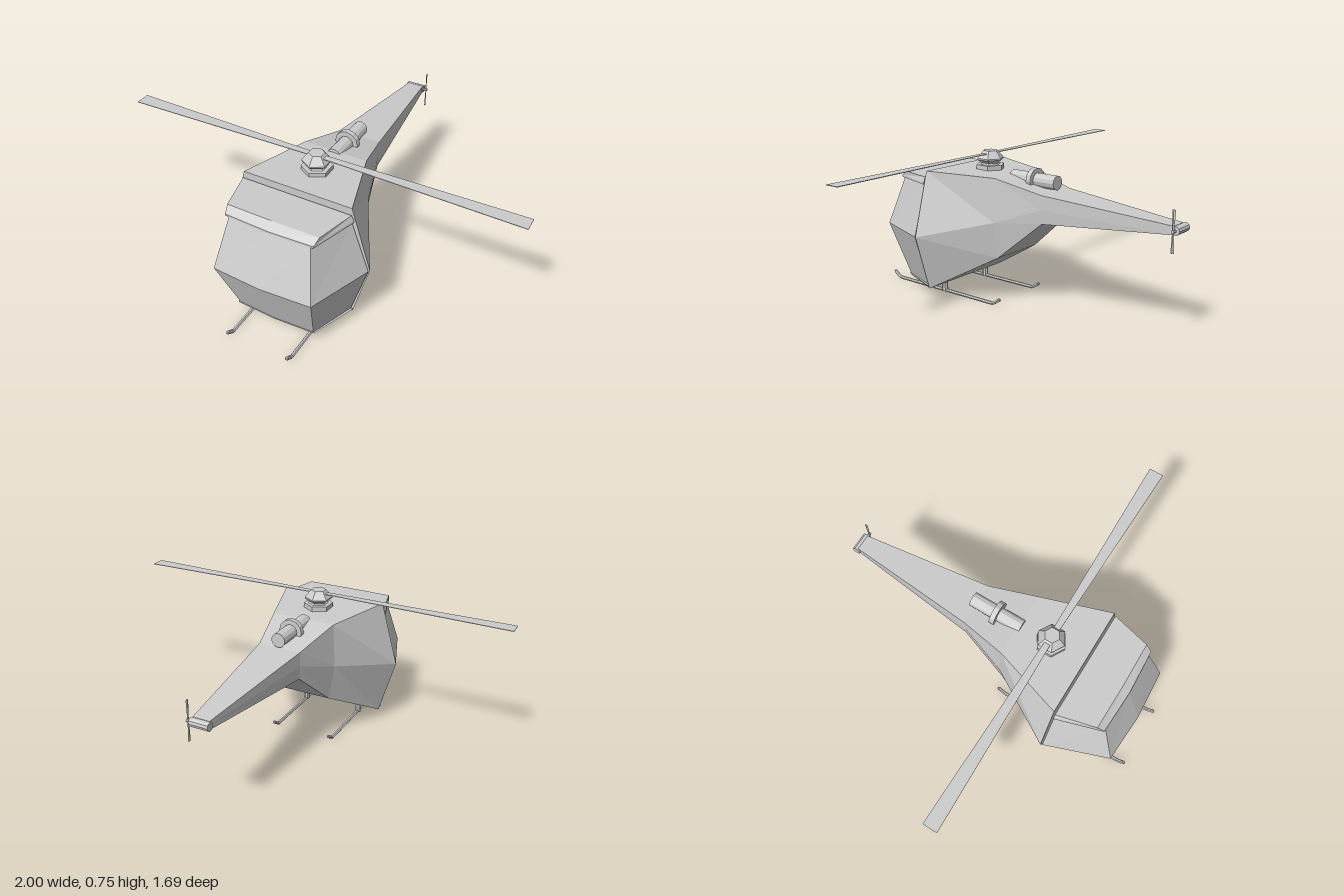
import * as THREE from 'three';

const grey = new THREE.MeshStandardMaterial({ color: 0xcccccc, flatShading: true, side: THREE.DoubleSide });

function add(parent, name, geometry, x = 0, y = 0, z = 0) {
  const mesh = new THREE.Mesh(geometry, grey);
  mesh.name = name;
  mesh.position.set(x, y, z);
  parent.add(mesh);
  return mesh;
}

// Skin between rings of equal point count, closed at both ends
function loft(rings) {
  const n = rings[0].length, index = [], last = (rings.length - 1) * n;
  for (let r = 0; r < rings.length - 1; r++) {
    for (let i = 0; i < n; i++) {
      const a = r * n + i, b = r * n + (i + 1) % n;
      index.push(a, b, b + n, a, b + n, a + n);
    }
  }
  for (let i = 1; i < n - 1; i++) {
    index.push(0, i + 1, i, last, last + i, last + i + 1);
  }
  const geometry = new THREE.BufferGeometry();
  geometry.setAttribute('position', new THREE.Float32BufferAttribute(rings.flat(2), 3));
  geometry.setIndex(index);
  const flat = geometry.toNonIndexed();
  flat.computeVertexNormals();
  return flat;
}

// Upright hexagonal fuselage section
const section = (z, tx, ty, mx, my, bx, by) => [
  [tx, ty, z], [-tx, ty, z], [-mx, my, z], [-bx, by, z], [bx, by, z], [mx, my, z]];

// Horizontal cabin section: rear corners, front corners, slightly bowed nose
const slice = (y, rear, corner, zCorner, zNose) => [
  [0, y, zNose], [corner, y, zCorner], [rear, y, 0.458], [-rear, y, 0.458], [-corner, y, zCorner]];

export function createModel() {
  const model = new THREE.Group();
  model.name = 'helicopter';

  // Fuselage tapering into the tail boom
  add(model, 'fuselage', loft([
    section(-0.81, 0.042, 0.545, 0.042, 0.525, 0.042, 0.505),
    section(-0.14, 0.11, 0.597, 0.11, 0.525, 0.105, 0.455),
    section(0.10, 0.165, 0.657, 0.178, 0.437, 0.15, 0.25),
    section(0.45, 0.278, 0.668, 0.37, 0.345, 0.285, 0.052),
  ]));

  // Faceted cabin with a roof rim and a sill
  add(model, 'cabin', loft([
    slice(0.068, 0.278, 0.2, 0.672, 0.682),
    slice(0.345, 0.366, 0.252, 0.77, 0.785),
    slice(0.603, 0.28, 0.205, 0.68, 0.69),
  ]));
  add(model, 'cabinRoof', loft([
    slice(0.6, 0.292, 0.222, 0.684, 0.694),
    slice(0.61, 0.292, 0.222, 0.684, 0.694),
    slice(0.637, 0.28, 0.232, 0.65, 0.653),
  ]));
  add(model, 'cabinSill', loft([
    slice(0.054, 0.28, 0.2, 0.655, 0.66),
    slice(0.07, 0.292, 0.207, 0.678, 0.688),
  ]));

  // Engine exhaust with a collar
  const exhaust = new THREE.Group();
  exhaust.name = 'exhaust';
  exhaust.position.set(0, 0.64, -0.02);
  exhaust.rotation.x = Math.PI / 2;
  model.add(exhaust);
  add(exhaust, 'exhaustPipe', new THREE.CylinderGeometry(0.036, 0.036, 0.27, 12));
  add(exhaust, 'exhaustCollar', new THREE.CylinderGeometry(0.06, 0.06, 0.026, 12));

  // Hexagonal rotor mast and hub
  const hub = [[0, 0.65], [0.074, 0.65], [0.074, 0.685], [0.052, 0.685], [0.045, 0.692],
    [0.07, 0.71], [0.07, 0.717], [0.038, 0.755], [0, 0.755]];
  add(model, 'rotorHub', new THREE.LatheGeometry(
    hub.map(([r, y]) => new THREE.Vector2(r, y)), 6), 0, 0, 0.27);

  // Two main blades, widening towards the tip
  const outline = new THREE.Shape([[0, -0.014], [1, -0.036], [1, 0.036], [0, 0.014]]
    .map(([x, y]) => new THREE.Vector2(x, y)));
  for (const side of [-1, 1]) {
    const blade = new THREE.ExtrudeGeometry(outline, { depth: 0.003, bevelEnabled: false });
    blade.rotateX(Math.PI / 2);
    if (side < 0) blade.rotateY(Math.PI);
    add(model, side > 0 ? 'leftBlade' : 'rightBlade', blade, 0, 0.742, 0.27);
  }

  // Tail rotor: gearbox across the boom, shaft and blades
  const gearbox = new THREE.CylinderGeometry(0.021, 0.021, 0.095, 10).rotateZ(Math.PI / 2);
  add(model, 'tailGearbox', gearbox, -0.002, 0.525, -0.819);
  const shaft = new THREE.CylinderGeometry(0.008, 0.008, 0.03, 8).rotateZ(Math.PI / 2);
  add(model, 'tailShaft', shaft, 0.052, 0.525, -0.817);
  for (const end of [-1, 1]) {
    const blade = new THREE.CylinderGeometry(0.009, 0.005, 0.098, 4);
    blade.scale(0.4, end, 1);
    if (end < 0) blade.scale(1, 1, -1).rotateY(Math.PI);
    add(model, 'tailBlade', blade, 0.06, 0.525 + end * 0.049, -0.817);
  }

  // Landing skids with upturned ends
  for (const side of [-1, 1]) {
    const skid = new THREE.Group();
    skid.name = side > 0 ? 'leftSkid' : 'rightSkid';
    skid.position.x = side * 0.16;
    model.add(skid);
    const path = new THREE.CurvePath();
    const points = [[0.036, 0.838], [0.009, 0.80], [0.009, 0.125], [0.036, 0.085]]
      .map(([y, z]) => new THREE.Vector3(0, y, z));
    for (let i = 0; i < 3; i++) path.add(new THREE.LineCurve3(points[i], points[i + 1]));
    add(skid, 'runner', new THREE.TubeGeometry(path, 60, 0.009, 6));
    for (const i of [0, 3]) {
      add(skid, 'runnerEnd', new THREE.SphereGeometry(0.009, 6, 4), 0, points[i].y, points[i].z);
    }
    add(skid, 'strut', new THREE.CylinderGeometry(0.016, 0.016, 0.07, 8), 0, 0.04, 0.46);
  }

  return model;
}
